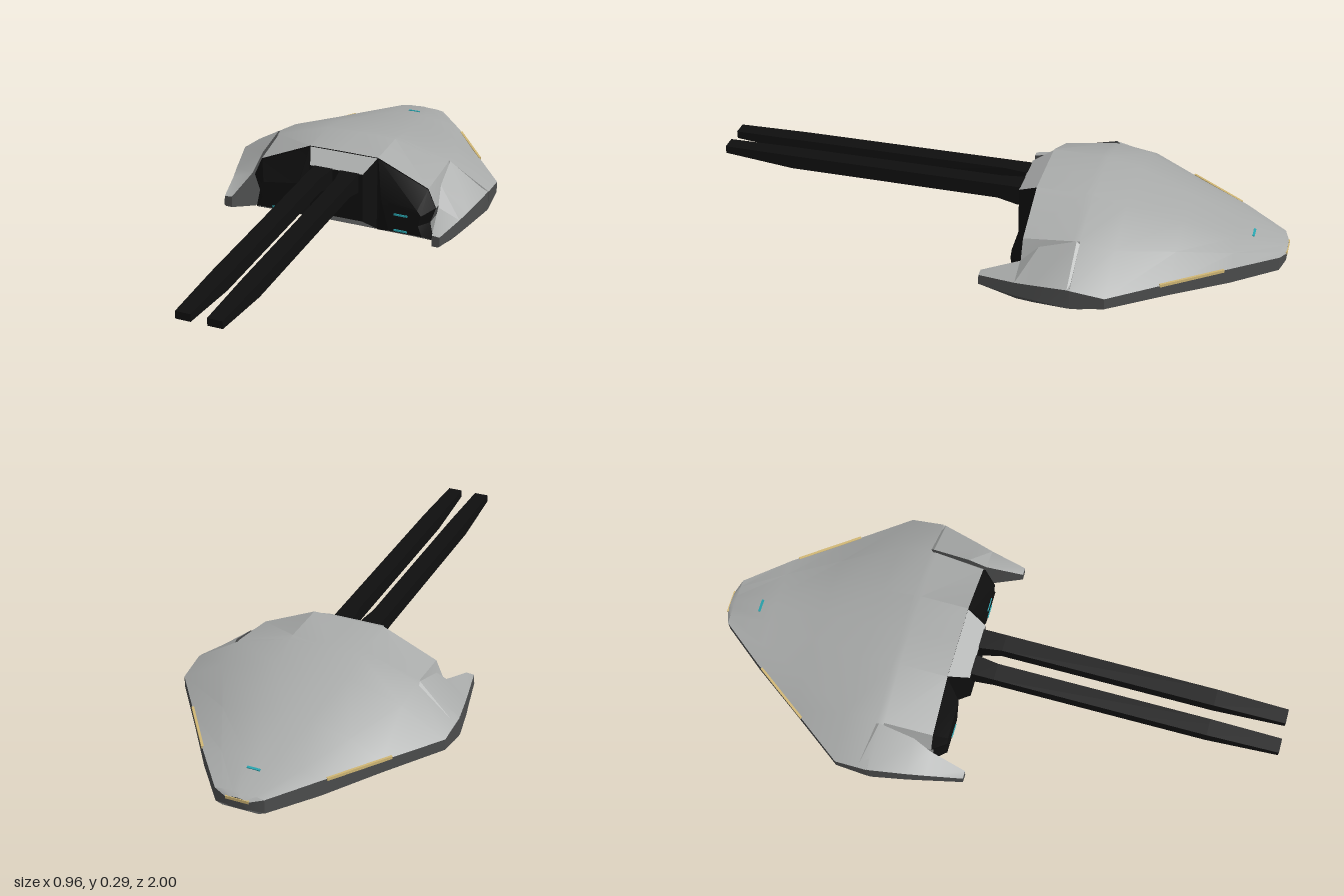
import * as THREE from 'three';
import { toCreasedNormals } from 'three/addons/utils/BufferGeometryUtils.js';

const paint = (name, color) => Object.assign(new THREE.MeshStandardMaterial({ color }), { name });
const mats = [
  paint('hull grey', 0xa9abaa), paint('underside grey', 0x8c8e8d), paint('rim dark grey', 0x4c4d4d),
  paint('black', 0x0f0f0f), paint('gold', 0xd0b674), paint('cyan', 0x28a4ae),
];
const HULL = 0, UNDER = 1, RIM = 2, BLACK = 3, GOLD = 4, CYAN = 5;

// Skin rings of points (clockwise seen from +z, ordered by rising z); one colour per ring edge.
function loft(name, rings, edgeColours, capColours) {
  const buckets = mats.map(() => []);
  const tri = (m, ...pts) => pts.forEach((p) => buckets[m].push(...p));
  const n = rings[0].length, first = rings[0], last = rings[rings.length - 1];
  for (let s = 0; s < rings.length - 1; s++) {
    for (let i = 0; i < n; i++) {
      const j = (i + 1) % n, a = rings[s], b = rings[s + 1];
      tri(edgeColours[i], a[i], b[i], b[j]);
      tri(edgeColours[i], a[i], b[j], a[j]);
    }
  }
  for (let i = 1; i < n - 1; i++) {
    tri(capColours[0], first[0], first[i], first[i + 1]);
    tri(capColours[1], last[0], last[i + 1], last[i]);
  }
  const geo = new THREE.BufferGeometry();
  geo.setAttribute('position', new THREE.Float32BufferAttribute(buckets.flat(), 3));
  let start = 0;
  buckets.forEach((b, m) => {
    if (b.length) geo.addGroup(start, b.length / 3, m);
    start += b.length / 3;
  });
  const mesh = new THREE.Mesh(toCreasedNormals(geo, 0.4), mats);
  mesh.name = name;
  return mesh;
}

const ring = (z, pts) => pts.map(([x, y]) => [x, y, z]);
const rect = (z, x0, x1, y0, y1) => ring(z, [[x0, y1], [x1, y1], [x1, y0], [x0, y0]]);

// Builds a left part and its mirrored twin.
function pair(group, name, rings, colours, caps) {
  const n = colours.length;
  group.add(loft('left' + name, rings, colours, caps));
  const flipped = rings.map((r) => r.map(([x, y, z]) => [-x, y, z]).reverse());
  const swapped = colours.map((_, j) => colours[(2 * n - 2 - j) % n]);
  group.add(loft('right' + name, flipped, swapped, caps));
}

function plate(name, colour, size, position, rotation = [0, 0, 0]) {
  const mesh = new THREE.Mesh(new THREE.BoxGeometry(...size), mats[colour]);
  mesh.name = name;
  mesh.position.set(...position);
  mesh.rotation.set(...rotation);
  return mesh;
}

export function createModel() {
  const model = new THREE.Group();
  model.name = 'hoverCraft';

  // Hull: half sections from crown to keel, mirrored into full rings
  const fullRing = (z, half) => ring(z, [...half, ...half.slice(1, -1).reverse().map(([x, y]) => [-x, y])]);
  // z, half width, crown, rim top, rim bottom, keel
  const stations = [
    [-0.997, 0.04, 0.108, 0.1, 0.072, 0.068],
    [-0.98, 0.085, 0.118, 0.11, 0.06, 0.052],
    [-0.83, 0.205, 0.15, 0.118, 0.062, 0.04],
    [-0.65, 0.335, 0.205, 0.115, 0.07, 0.03],
    [-0.46, 0.475, 0.258, 0.115, 0.075, 0.02],
    [-0.345, 0.48, 0.283, 0.13, 0.06, 0.012],
  ];
  const rings = stations.map(([z, w, top, hi, lo, keel]) => fullRing(z, [
    [0, top], [0.27 * w, top - 0.002], [0.68 * w, hi + 0.62 * (top - hi)],
    [w, hi], [w, lo], [0.72 * w, keel], [0, keel],
  ]));
  const tail = [[0.35, 0.13], [0.33, 0.07], [0.345, 0.0]];
  rings.push(fullRing(-0.32, [[0, 0.286], [0.13, 0.285], [0.328, 0.222], ...tail, [0, 0.01]]));
  rings.push(fullRing(-0.15, [[0, 0.286], [0.13, 0.285], [0.32, 0.2], ...tail, [0, 0.005]]));
  const half = [HULL, HULL, HULL, RIM, UNDER, UNDER];
  model.add(loft('hull', rings, [...half, ...half.slice().reverse()], [RIM, BLACK]));

  // Gun housing between the engines
  model.add(loft('gunHousing', [
    rect(-0.155, -0.13, 0.13, 0, 0.285), rect(-0.08, -0.1, 0.1, 0.06, 0.245),
  ], [HULL, BLACK, UNDER, BLACK], [BLACK, BLACK]));

  // Engine blocks
  pair(model, 'Engine', [
    ring(-0.152, [[0.13, 0.284], [0.32, 0.2], [0.35, 0.13], [0.33, 0.07], [0.345, 0], [0.13, 0]]),
    ring(-0.105, [[0.16, 0.15], [0.295, 0.13], [0.31, 0.11], [0.3, 0.07], [0.315, 0.03], [0.19, 0.03]]),
  ], [BLACK, BLACK, BLACK, BLACK, UNDER, BLACK], [BLACK, BLACK]);

  // Side prongs
  pair(model, 'Prong', [
    ring(-0.38, [[0.34, 0.19], [0.478, 0.125], [0.478, 0.062], [0.43, 0.028], [0.34, 0.015]]),
    ring(-0.335, [[0.335, 0.228], [0.478, 0.13], [0.48, 0.06], [0.43, 0.025], [0.34, 0.008]]),
    ring(-0.21, [[0.345, 0.192], [0.452, 0.11], [0.455, 0.055], [0.42, 0.02], [0.345, 0.003]]),
    ring(-0.15, [[0.358, 0.135], [0.438, 0.1], [0.44, 0.05], [0.41, 0.018], [0.348, 0.002]]),
    ring(-0.02, [[0.382, 0.092], [0.41, 0.09], [0.412, 0.055], [0.405, 0.05], [0.382, 0.05]]),
  ], [HULL, RIM, RIM, UNDER, RIM], [RIM, RIM]);

  // Twin barrels
  pair(model, 'Barrel', [
    rect(-0.12, 0.015, 0.085, 0.175, 0.246), rect(-0.07, 0.015, 0.085, 0.175, 0.246),
    rect(0, 0.025, 0.085, 0.192, 0.246), rect(0.75, 0.025, 0.085, 0.195, 0.246),
    rect(1, 0.028, 0.08, 0.218, 0.245),
  ], Array(4).fill(BLACK), [BLACK, BLACK]);

  // Gold edge strips
  for (const s of [1, -1]) {
    model.add(plate('edgeStrip', GOLD, [0.008, 0.01, 0.235], [s * 0.287, 0.116, -0.715], [0, s * 0.628, 0]));
  }
  model.add(plate('noseStrip', GOLD, [0.08, 0.01, 0.006], [0, 0.1, -0.997]));

  // Cyan marker lights
  model.add(plate('noseLight', CYAN, [0.045, 0.004, 0.008], [0, 0.14, -0.88], [-0.21, 0, 0]));
  for (const [x, y] of [[0.235, 0.038], [0.235, 0.1], [-0.235, 0.038]]) {
    model.add(plate('engineLight', CYAN, [0.05, 0.007, 0.004], [x, y, -0.104]));
  }
  return model;
}
